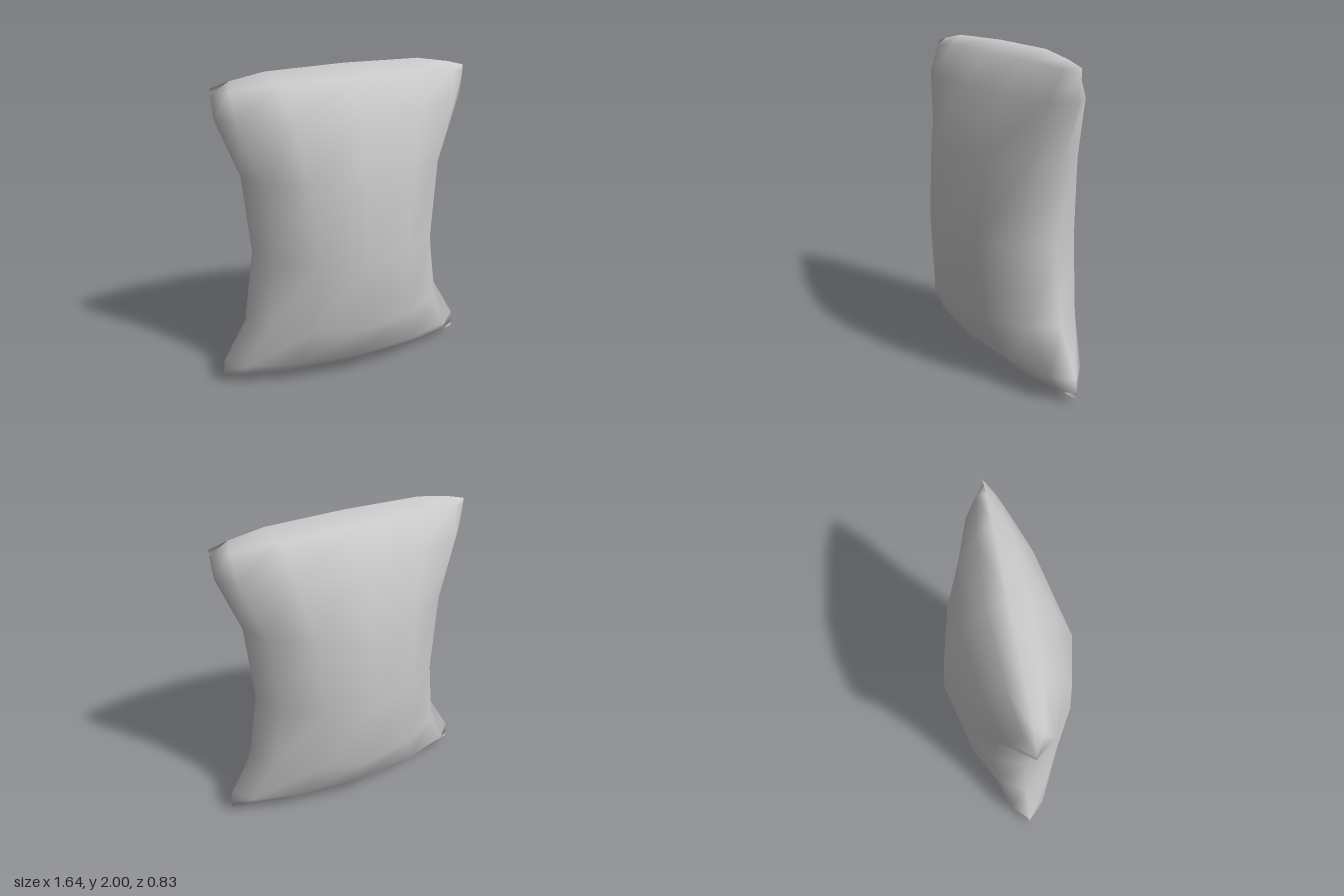
import * as THREE from 'three';
import { mergeVertices } from 'three/addons/utils/BufferGeometryUtils.js';

// Rows from bottom to top: height, half width, half depth, rise at the side seam, column fractions
const ROWS = [
  [0.005, 0.82, 0, 0.045, 0.6, 0.86],
  [0.045, 0.82, 0.11, 0.045, 0.54, 0.88],
  [0.17, 0.81, 0.245, 0, 0.5, 0.87],
  [0.44, 0.66, 0.37, 0, 0.49, 0.86],
  [0.91, 0.59, 0.413, 0, 0.49, 0.86],
  [1.40, 0.63, 0.37, 0, 0.49, 0.86],
  [1.75, 0.757, 0.255, 0, 0.5, 0.87],
  [1.94, 0.767, 0.115, -0.05, 0.54, 0.88],
  [2.0, 0.767, 0, -0.075, 0.6, 0.86],
];
const DEPTH = [1, 0.82, 0.46, 0]; // share of the depth, centre to seam
const BEND = [0, 0.13, 0.6, 1];   // share of the seam rise, centre to seam
const N = 12;

function cushionGeometry() {
  const positions = [], index = [];
  for (const [y, w, d, rise, f1, f2] of ROWS) {
    const across = [0, f1, f2, 1];
    for (let j = 0; j < N; j++) {
      // mirror one quarter of the ring: front centre, +x seam, back centre, -x seam
      const h = j <= 6 ? j : N - j;
      const k = h <= 3 ? h : 6 - h;
      const sx = j <= 6 ? 1 : -1, sz = h <= 3 ? 1 : -1;
      positions.push(sx * w * across[k], y + rise * BEND[k], sz * d * DEPTH[k]);
    }
  }
  for (let i = 0; i < ROWS.length - 1; i++) {
    for (let j = 0; j < N; j++) {
      const a = i * N + j, b = i * N + (j + 1) % N;
      index.push(a, b, b + N, a, b + N, a + N);
    }
  }
  const geo = new THREE.BufferGeometry();
  geo.setAttribute('position', new THREE.Float32BufferAttribute(positions, 3));
  geo.setIndex(index);
  // weld front and back along the end seams so the shading runs over them
  const welded = mergeVertices(geo, 1e-4);
  welded.computeVertexNormals();
  return welded;
}

export function createModel() {
  const group = new THREE.Group();
  group.name = 'pillow';
  const cushion = new THREE.Mesh(
    cushionGeometry(),
    new THREE.MeshStandardMaterial({ color: 0xcccccc })
  );
  cushion.name = 'cushion';
  group.add(cushion);
  return group;
}
